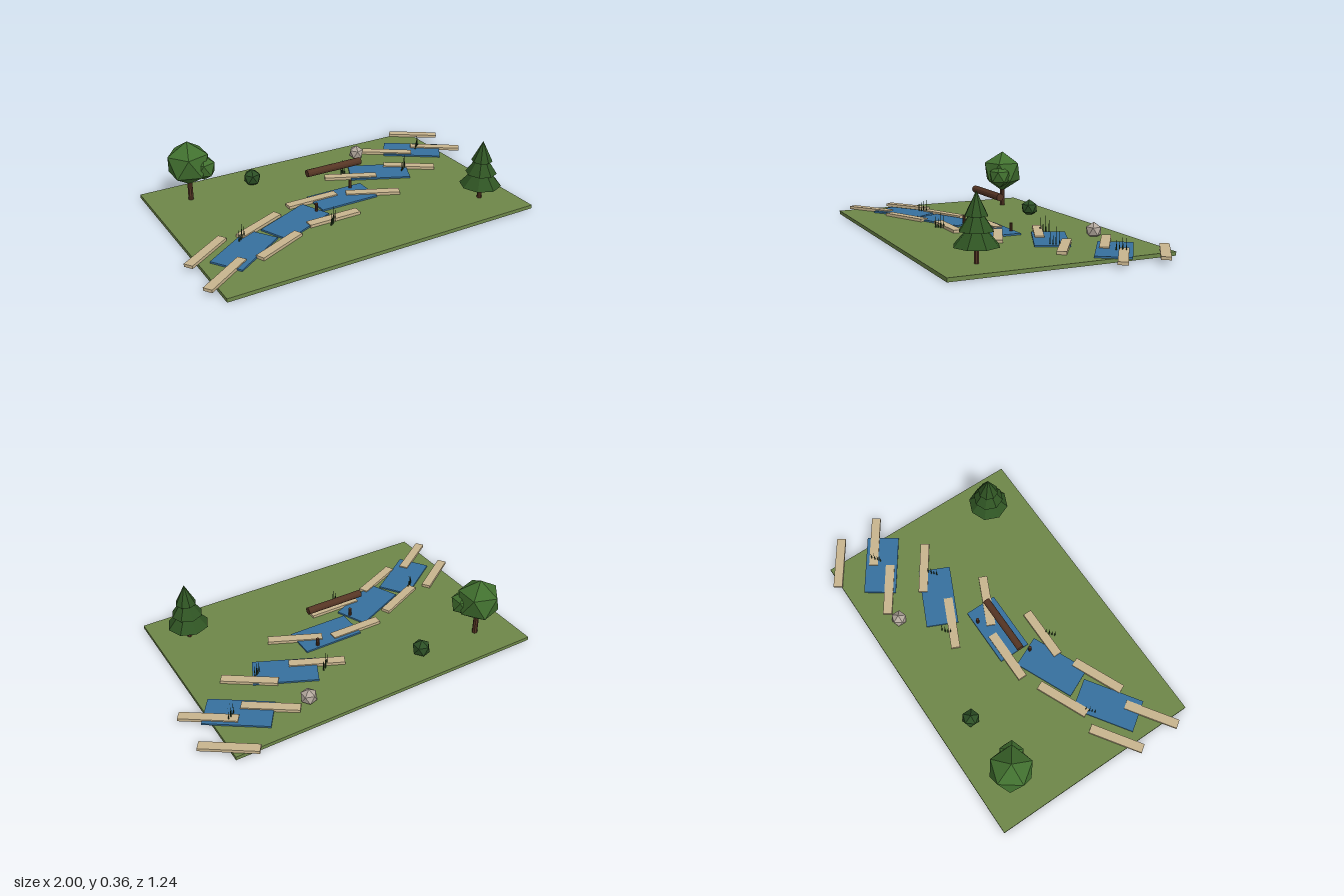
import * as THREE from 'three';

export function createModel() {
  const model = new THREE.Group();
  const mat = (name, color) => {
    const m = new THREE.MeshStandardMaterial({ color, flatShading: true });
    m.name = name;
    return m;
  };
  const grass = mat('grass green', 0x6e8749);
  const blue = mat('water blue', 0x37719f);
  const sand = mat('bank sand', 0xc9b58e);
  const bark = mat('bark brown', 0x553524);
  const leaf = mat('leaf green', 0x41702f);
  const needle = mat('needle green', 0x2f5423);
  const shrubGreen = mat('shrub green', 0x2c4f25);
  const reedGreen = mat('reed green', 0x2a4422);
  const stone = mat('stone grey', 0xb3a89d);

  const add = (name, geo, material, x, y, z, parent = model) => {
    const mesh = new THREE.Mesh(geo, material);
    mesh.name = name;
    mesh.position.set(x, y, z);
    parent.add(mesh);
    return mesh;
  };
  const group = (name, x = 0, z = 0) => {
    const g = new THREE.Group();
    g.name = name;
    g.position.set(x, 0, z);
    model.add(g);
    return g;
  };
  // Faceted ball standing on one corner
  const ball = (r) => new THREE.IcosahedronGeometry(r, 0).rotateZ(Math.atan(2 / (1 + Math.sqrt(5))));

  const top = 0.027;

  // Ground slab
  add('ground', new THREE.BoxGeometry(1.795, 0.02, 1.197), grass, -0.038, 0.017, 0.016);

  // Stream sections: x, z, turn
  const stream = group('stream');
  const waterGeo = new THREE.BoxGeometry(0.344, 0.009, 0.181);
  [
    [-0.69, 0.27, 0.6], [-0.34, 0.142, 0.42], [0.016, 0.016, 0],
    [0.367, -0.155, -0.43], [0.717, -0.321, -0.6],
  ].forEach(([x, z, turn]) => {
    add('water', waterGeo, blue, x, top + 0.0045, z, stream).rotation.y = turn;
  });

  // Paired banks either side of the stream: x, middle z, turn
  const banks = group('banks');
  const bankGeo = new THREE.BoxGeometry(0.3, 0.016, 0.05);
  [
    [-0.864, 0.315, 0.6], [-0.524, 0.203, 0.42], [-0.15, 0.09, 0],
    [0.188, -0.059, -0.43], [0.562, -0.247, -0.6], [0.862, -0.397, -0.6],
  ].forEach(([x, z, turn]) => {
    for (const side of [-1, 1]) {
      add('bank', bankGeo, sand, x, top + 0.008, z + side * 0.119, banks).rotation.y = turn;
    }
  });

  // Log above the stream, with its two short posts
  const log = new THREE.CylinderGeometry(0.02, 0.02, 0.33, 12).rotateZ(Math.PI / 2);
  add('log', log, bark, -0.038, 0.226, 0.018);
  const postGeo = new THREE.CylinderGeometry(0.009, 0.009, 0.053, 8);
  for (const [x, z] of [[0.11, -0.054], [-0.19, 0.095]]) {
    add('post', postGeo, bark, x, top + 0.0265, z);
  }

  // Broadleaf tree
  const tree = group('broadleafTree', -0.71, -0.391);
  add('trunk', new THREE.CylinderGeometry(0.014, 0.015, 0.14, 8), bark, 0, top + 0.07, 0, tree);
  add('crown', ball(0.126), leaf, 0, 0.245, 0, tree);
  add('sideCrown', ball(0.072), leaf, 0.066, 0.222, 0.048, tree);

  // Conifer with three tiers: base height, radius, cone height
  const conifer = group('conifer', 0.673, 0.395);
  add('trunk', new THREE.CylinderGeometry(0.013, 0.013, 0.1, 8), bark, 0, top + 0.05, 0, conifer);
  [[0.109, 0.114, 0.13], [0.18, 0.085, 0.125], [0.25, 0.057, 0.114]].forEach(([y, r, h]) => {
    add('tier', new THREE.ConeGeometry(r, h, 8), needle, 0, y + h / 2, 0, conifer);
  });

  // Shrub and rock
  add('shrub', ball(0.052), shrubGreen, -0.337, 0.066, -0.395);
  add('rock', ball(0.046), stone, 0.371, 0.056, -0.414);

  // Clumps of reeds along the water
  const clumps = [[-0.66, 0.17], [-0.174, 0.247], [0.166, -0.23], [0.507, -0.105], [0.763, -0.33]];
  const reeds = [[-0.021, 0.016, 0.08], [-0.008, 0.006, 0.062], [0.003, -0.005, 0.102], [0.02, -0.016, 0.085]];
  clumps.forEach(([cx, cz]) => {
    const clump = group('reedClump', cx, cz);
    reeds.forEach(([x, z, h]) => {
      add('reed', new THREE.ConeGeometry(0.004, h, 5), reedGreen, x, top + h / 2, z, clump);
    });
  });

  return model;
}
